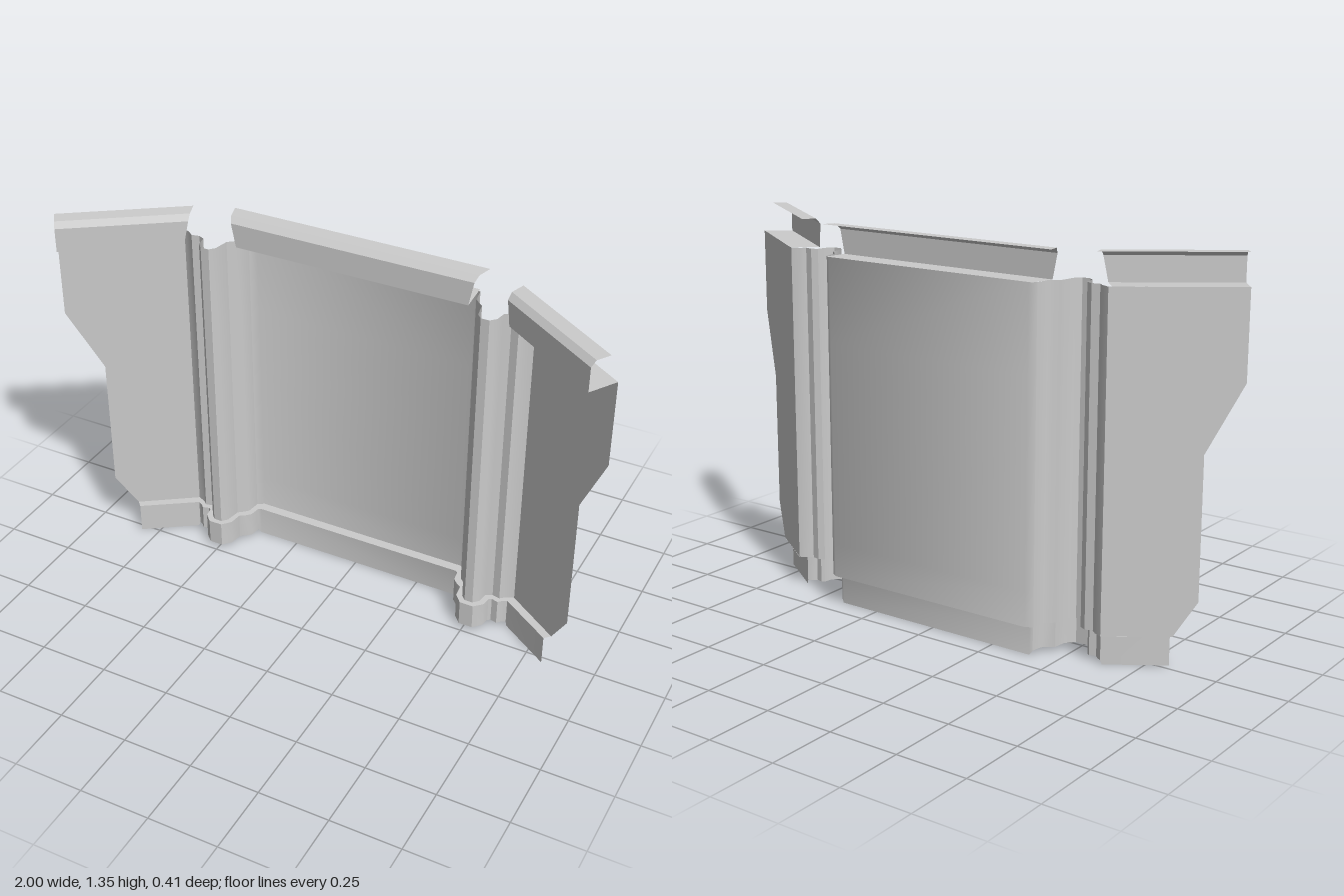
import * as THREE from 'three';
import { toCreasedNormals } from 'three/addons/utils/BufferGeometryUtils.js';

const material = new THREE.MeshStandardMaterial({ color: 0xcccccc, side: THREE.DoubleSide });

// Thin sheet through rows of [x, y, z] points, listed top to bottom, left to right
function sheet(name, rows) {
  const n = rows[0].length;
  const index = [];
  for (let r = 0; r < rows.length - 1; r++) {
    for (let c = 0; c < n - 1; c++) {
      const a = r * n + c, b = a + n;
      index.push(a, b, b + 1, a, b + 1, a + 1);
    }
  }
  const geometry = new THREE.BufferGeometry();
  geometry.setAttribute('position', new THREE.Float32BufferAttribute(rows.flat(2), 3));
  geometry.setIndex(index);
  const mesh = new THREE.Mesh(toCreasedNormals(geometry, 0.65), material);
  mesh.name = name;
  return mesh;
}

// Adds the -x half to a row that runs from the middle to +x
const mirrorRow = (row) => [...row.map(([x, y, z]) => [-x, y, z]).reverse(), ...row];

// Plan lines [x, z] of the pleated wall and of the skirt set forward from it
const wallPath = [
  [0.405, -0.205], [0.428, -0.19], [0.435, -0.14], [0.45, -0.125], [0.468, -0.11],
  [0.478, -0.055], [0.495, -0.036], [0.525, -0.036], [0.543, -0.055], [0.55, -0.095],
  [0.572, -0.106], [0.6, -0.1], [0.617, -0.115], [0.645, -0.127],
];
const skirtPath = [
  [0.4, -0.17], [0.41, -0.165], [0.416, -0.125], [0.435, -0.105], [0.452, -0.095],
  [0.458, -0.048], [0.485, -0.017], [0.535, -0.017], [0.563, -0.045], [0.568, -0.078],
  [0.578, -0.085], [0.602, -0.079], [0.615, -0.092], [0.63, -0.1],
];
const wingZ = (x) => 0.12 - (1 - x) * 0.7;
// Height and outer x of the wing edge
const wingEdge = [[1.25, 1], [0.95, 1], [0.72, 0.9], [0.23, 0.9], [0.11, 0.835]];

function wallRow(y, outerX) {
  return mirrorRow([...wallPath, [outerX, wingZ(outerX)]].map(([x, z]) => [x, y, z]));
}

function skirtRow(heightAt) {
  return mirrorRow([...skirtPath, [0.635, -0.097], [0.815, 0.025]]
    .map(([x, z]) => [x, heightAt(x), z]));
}

// Top lip cross-section: [forward offset, height, end flare]
const lipProfile = [
  [0.035, 1.352, 0.045], [0.087, 1.35, 0.03], [0.105, 1.33, 0.022],
  [0.105, 1.245, 0.005], [0, 1.25, 0],
];

// Folded lip along the plan line a-b, flared at the chosen ends
function lip(name, a, b, flareA, flareB) {
  const along = new THREE.Vector2(b[0] - a[0], b[1] - a[1]).normalize();
  const rows = lipProfile.map(([d, y, flare]) =>
    [[a, -flare * flareA], [b, flare * flareB]].map(([p, s]) => [
      p[0] + along.x * s - along.y * d, y, p[1] + along.y * s + along.x * d,
    ]));
  return sheet(name, rows);
}

export function createModel() {
  const model = new THREE.Group();
  model.name = 'foldedPanel';

  // Pleated wall with stepped wings
  model.add(sheet('wall', wingEdge.map(([y, x]) => wallRow(y, x))));

  // Narrow shelf joining wall and skirt, then the skirt itself
  const skirtTop = skirtRow(() => 0.11);
  const shelfBack = mirrorRow([...wallPath, [0.65, wingZ(0.65)], [0.835, wingZ(0.835)]]
    .map(([x, z]) => [x, 0.11, z]));
  model.add(sheet('shelf', [shelfBack, skirtTop]));
  const skirtBottom = skirtRow((x) => (x > 0.405 && x < 0.632 ? 0.015 : 0));
  model.add(sheet('skirt', [skirtTop, skirtBottom]));

  // Lips above the middle panel and both wings
  const inner = [0.655, wingZ(0.655)], outer = [1, wingZ(1)];
  const flip = ([x, z]) => [-x, z];
  model.add(lip('middleLip', [-0.42, -0.205], [0.42, -0.205], 1, 1));
  model.add(lip('leftLip', inner, outer, 1, 0));
  model.add(lip('rightLip', flip(outer), flip(inner), 0, 1));
  return model;
}
